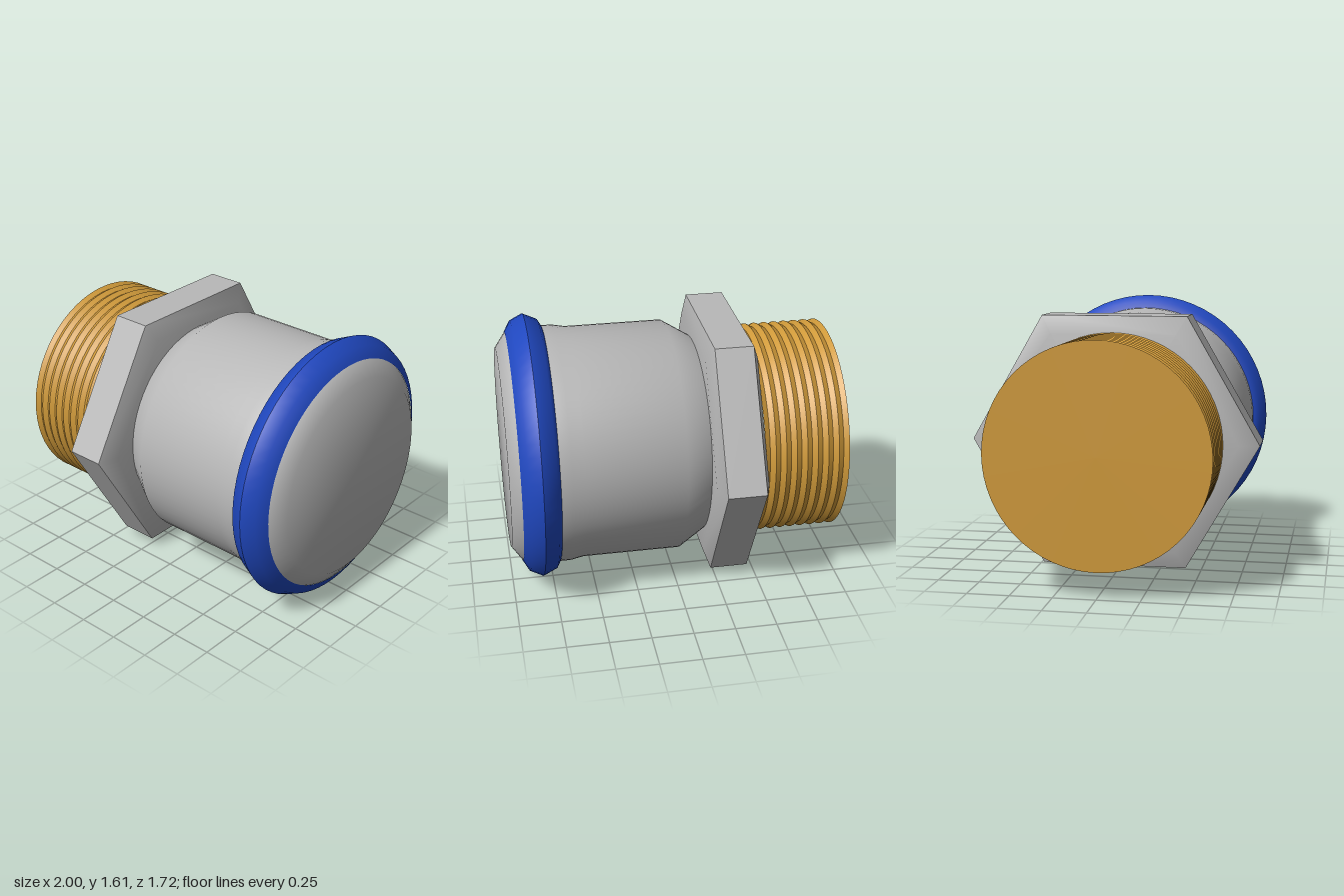
import * as THREE from 'three';
import { toCreasedNormals } from 'three/addons/utils/BufferGeometryUtils.js';

const steel = new THREE.MeshStandardMaterial({ color: 0xb8b8b8 });
steel.name = 'steel';
const brass = new THREE.MeshStandardMaterial({ color: 0xd09a3a });
brass.name = 'brass';
const blue = new THREE.MeshStandardMaterial({ color: 0x2048c0 });
blue.name = 'blue';

// Turns a profile of [x, radius] pairs around the x axis.
function turned(name, profile, sides, material) {
  const points = profile.map(([x, r]) => new THREE.Vector2(r, x));
  const lathe = new THREE.LatheGeometry(points, sides);
  lathe.rotateZ(-Math.PI / 2);
  const mesh = new THREE.Mesh(toCreasedNormals(lathe, 0.7), material);
  mesh.name = name;
  return mesh;
}

export function createModel() {
  const fitting = new THREE.Group();
  fitting.name = 'pipeFitting';

  // Threaded end: eight ridges with a closed end face
  const thread = [[-1, 0]];
  const ridges = 8;
  const pitch = 0.51 / ridges;
  for (let i = 0; i <= ridges * 2; i++) {
    thread.push([-1 + i * pitch / 2, i % 2 ? 0.632 : 0.649]);
  }
  fitting.add(turned('threadedEnd', thread, 64, brass));

  // Hexagonal nut with bevelled ends
  fitting.add(turned('hexNut', [
    [-0.49, 0], [-0.49, 0.74], [-0.45, 0.86],
    [-0.22, 0.86], [-0.18, 0.74], [-0.18, 0],
  ], 6, steel));

  // Socket body with sloped shoulder and closed, bevelled mouth
  fitting.add(turned('socketBody', [
    [-0.19, 0.604], [-0.02, 0.71], [0.57, 0.71], [0.65, 0.725],
    [0.73, 0.725], [0.9, 0.72], [0.936, 0.70], [1, 0.61], [1, 0],
  ], 64, steel));

  // Raised sealing ring near the mouth
  fitting.add(turned('sealRing', [
    [0.717, 0.69], [0.717, 0.73], [0.738, 0.767], [0.822, 0.805],
    [0.9, 0.767], [0.938, 0.70],
  ], 64, blue));

  fitting.position.y = 0.805;
  const model = new THREE.Group();
  model.name = 'model';
  model.add(fitting);
  return model;
}
